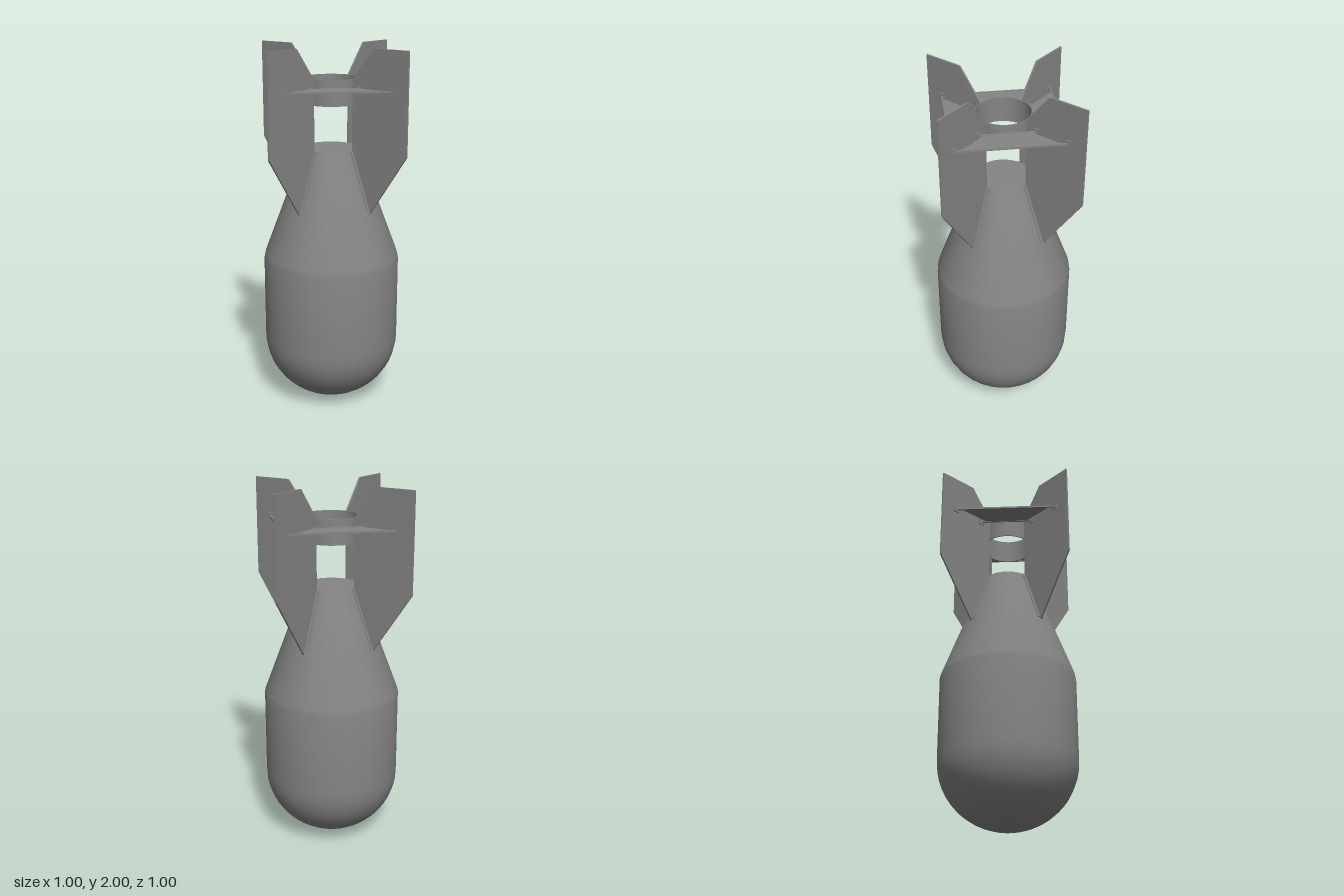
import * as THREE from 'three';
import { toCreasedNormals } from 'three/addons/utils/BufferGeometryUtils.js';

const material = new THREE.MeshStandardMaterial({ color: 0x858585 });
const vec = ([x, y]) => new THREE.Vector2(x, y);

function add(parent, name, geometry, x = 0, y = 0, z = 0) {
  const mesh = new THREE.Mesh(geometry, material);
  mesh.name = name;
  mesh.position.set(x, y, z);
  parent.add(mesh);
  return mesh;
}

// Flat sheet cut from an outline, centred on its own thickness
function sheet(points, thickness) {
  const geometry = new THREE.ExtrudeGeometry(new THREE.Shape(points.map(vec)), {
    depth: thickness, bevelEnabled: false,
  });
  return geometry.translate(0, 0, -thickness / 2);
}

export function createModel() {
  const model = new THREE.Group();
  model.name = 'finnedCasing';

  // Casing: round nose, straight barrel, tapered tail with a flat end
  const radius = 0.378, tailRadius = 0.148, tailY = 1.455, shoulderY = 0.84;
  const profile = [];
  for (let i = 0; i <= 12; i++) {
    const a = (i / 12) * Math.PI / 2;
    profile.push([radius * Math.sin(a), 0.365 * (1 - Math.cos(a))]);
  }
  profile.push([radius, 0.83], [0.373, 0.855], [tailRadius, tailY], [0, tailY]);
  add(model, 'body', toCreasedNormals(new THREE.LatheGeometry(profile.map(vec), 32), 0.6));

  // Open collar held between the fins
  const ring = [[0.143, 1.696], [0.148, 1.696], [0.148, 1.834], [0.143, 1.834], [0.143, 1.696]];
  add(model, 'tailRing', toCreasedNormals(new THREE.LatheGeometry(ring.map(vec), 32), 0.6));

  const finGeometry = sheet([
    [0.27, 1.12], [0.5, 1.46], [0.5, 2], [0.28, 2], [0.148, 1.834], [0.148, 1.455],
  ], 0.01);
  // Brace plate stops short of the fins; its outline is turned to lie flat
  const plateGeometry = sheet([
    [0.195, 0.03], [0.38, 0.03], [0.03, 0.38], [0.03, 0.195],
  ], 0.006).rotateX(Math.PI / 2);

  const slope = Math.atan2(radius - tailRadius, tailY - shoulderY);
  const braceY = 1.79;

  for (let i = 0; i < 4; i++) {
    const quarter = new THREE.Group();
    quarter.name = 'tailQuarter' + (i + 1);
    quarter.rotation.y = i * Math.PI / 2;
    model.add(quarter);

    add(quarter, 'fin', finGeometry);

    // Mounting strip along the taper at the fin root
    const strip = add(quarter, 'finFlange', new THREE.BoxGeometry(0.008, 0.34, 0.042), 0.208, 1.293, 0);
    strip.rotation.z = slope;

    // Brace plate with edge rods and the brackets they end in
    add(quarter, 'bracePlate', plateGeometry, 0, braceY, 0);
    for (const reach of [0.222, 0.412]) {
      const length = (reach - 0.02) * Math.SQRT2;
      const rod = add(quarter, 'braceRod', new THREE.BoxGeometry(length, 0.01, 0.009),
        reach / 2, braceY, reach / 2);
      rod.rotation.y = Math.PI / 4;
      add(quarter, 'braceBracket', new THREE.BoxGeometry(0.036, 0.036, 0.022), reach - 0.009, braceY, 0);
    }
  }
  return model;
}
